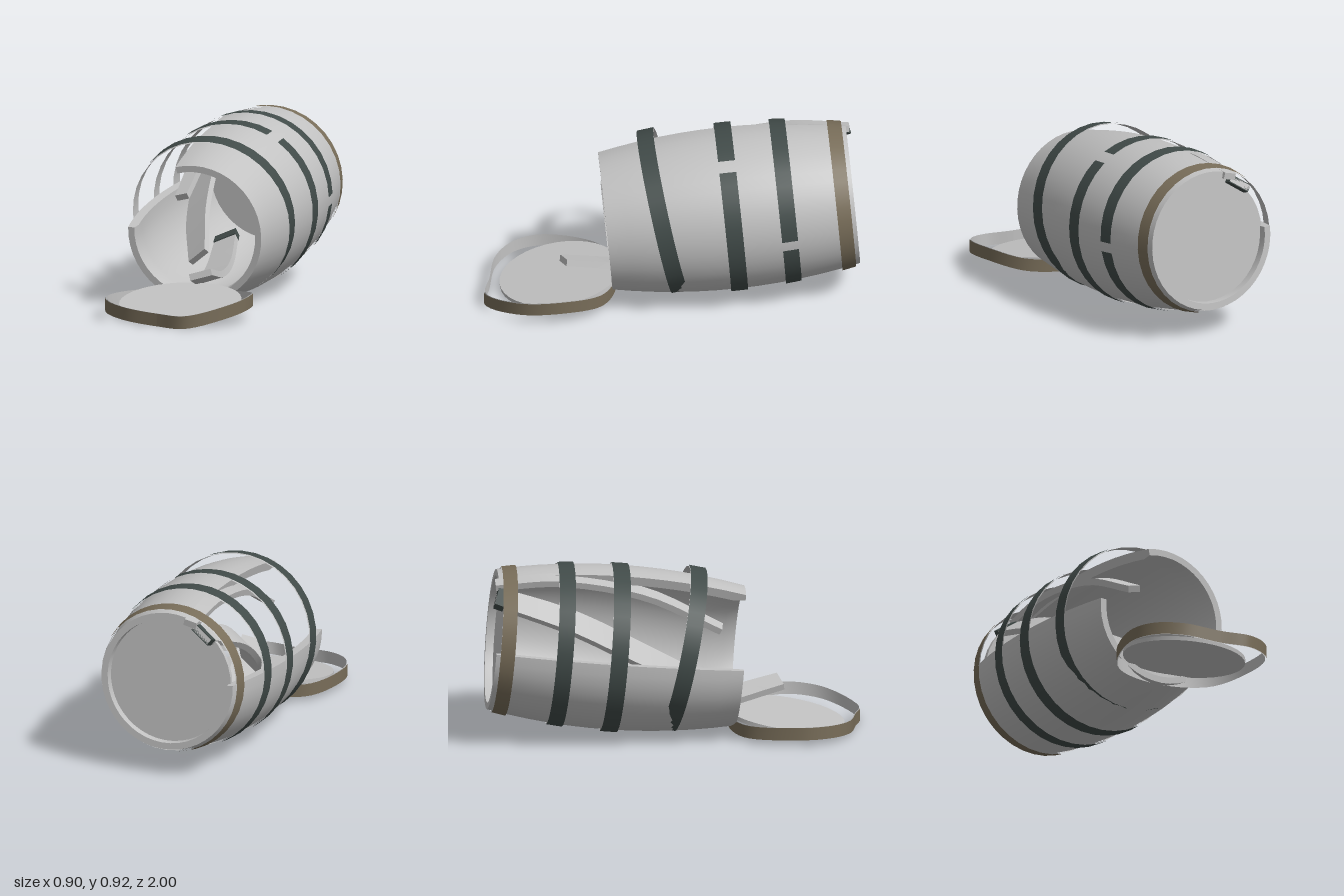
import * as THREE from 'three';
import { toCreasedNormals } from 'three/addons/utils/BufferGeometryUtils.js';

const rad = THREE.MathUtils.degToRad;
const V = (x, y, z) => new THREE.Vector3(x, y, z);

const wood = new THREE.MeshStandardMaterial({ color: 0xc2c2c2, side: THREE.DoubleSide });
wood.name = 'grey wood';
const iron = new THREE.MeshStandardMaterial({ color: 0x414b49 });
iron.name = 'dark iron';
const brass = new THREE.MeshStandardMaterial({ color: 0x786d59 });
brass.name = 'brown metal';

// Barrel: bulging wall along its own axis t, with the gap in degrees round the axis
// (0 bottom, 90 left, 180 top, 270 right).
const HALF = 0.66;
const GAP_FROM = 195, GAP_TO = 267;
const radiusAt = (t) => 0.438 - 0.15 * t * t;

function mesh(name, geometry, material) {
  const m = new THREE.Mesh(geometry, material);
  m.name = name;
  return m;
}

const crease = (g) => toCreasedNormals(g, rad(35));

function buildWall() {
  const group = new THREE.Group();
  group.name = 'barrelWall';
  const profile = [];
  const N = 12;
  for (let i = 0; i <= N; i++) {
    const t = -HALF + (2 * HALF * i) / N;
    profile.push(new THREE.Vector2(radiusAt(t), t));
  }
  profile.push(new THREE.Vector2(0.338, HALF));
  for (let i = 0; i <= N; i++) {
    const t = 0.6 - (1.2 * i) / N;
    profile.push(new THREE.Vector2(radiusAt(t) - 0.05, t));
  }
  profile.push(new THREE.Vector2(0.338, -HALF), profile[0].clone());

  const sweep = 360 - (GAP_TO - GAP_FROM);
  group.add(mesh('staves', crease(new THREE.LatheGeometry(profile, 36, rad(GAP_TO), rad(sweep))), wood));

  // Cut faces on both sides of the gap
  for (const angle of [GAP_FROM, GAP_TO]) {
    const cut = mesh('cutFace', new THREE.ShapeGeometry(new THREE.Shape(profile.slice(0, -1))), wood);
    cut.rotation.y = rad(angle - 90);
    group.add(cut);
  }

  // Back head, set in from the rim
  const head = mesh('backHead', crease(new THREE.CylinderGeometry(0.345, 0.345, 0.025, 36)), wood);
  head.position.y = -0.605;
  group.add(head);
  return group;
}

// Hoop: coloured outside, plain inside, made of one or more arcs [from, to]
function buildHoop(name, t, width, material, arcs, shape = radiusAt) {
  const group = new THREE.Group();
  group.name = name;
  for (const [from, to] of arcs) {
    const segments = Math.max(2, Math.round((to - from) / 10));
    const ring = (lift) => {
      const pts = [-0.5, 0, 0.5].map((k) => new THREE.Vector2(shape(t + k * width) + lift, k * width));
      return new THREE.LatheGeometry(pts, segments, rad(from), rad(to - from));
    };
    group.add(mesh('hoopOutside', ring(0.011), material));
    group.add(mesh('hoopInside', ring(0.005), wood));
  }
  group.position.y = t;
  return group;
}

// Plank bent along a curve; sideStart and sideEnd give the direction of its width
function buildPlank(name, curve, sideStart, sideEnd, width, thick, material, from = 0, to = 1) {
  const g = new THREE.BoxGeometry(width, thick, 1, 1, 1, 14);
  const p = g.attributes.position;
  for (let i = 0; i < p.count; i++) {
    const t = THREE.MathUtils.lerp(from, to, p.getZ(i) + 0.5);
    const tangent = curve.getTangent(t);
    const side = sideStart.clone().lerp(sideEnd, t);
    side.addScaledVector(tangent, -side.dot(tangent)).normalize();
    const up = tangent.clone().cross(side);
    const swell = 1 + 0.25 * Math.sin(Math.PI * t);
    const q = curve.getPoint(t).addScaledVector(side, p.getX(i) * swell).addScaledVector(up, p.getY(i));
    p.setXYZ(i, q.x, q.y, q.z);
  }
  return mesh(name, crease(g), material);
}

// Warped hoop lying on the ground around the lid
function buildLooseHoop() {
  const group = new THREE.Group();
  group.name = 'looseHoop';
  const path = new THREE.CatmullRomCurve3([
    V(0, 0.036, 0.97), V(0.17, 0.036, 1.0), V(0.37, 0.085, 0.82), V(0.405, 0.105, 0.6),
    V(0.29, 0.08, 0.38), V(0, 0.065, 0.29), V(-0.28, 0.062, 0.37), V(-0.38, 0.07, 0.66),
    V(-0.33, 0.065, 0.82), V(-0.2, 0.052, 0.925),
  ], true);
  const band = (inset) => {
    const g = new THREE.PlaneGeometry(1, 0.068, 64, 1);
    const p = g.attributes.position;
    for (let i = 0; i < p.count; i++) {
      const q = path.getPoint((p.getX(i) + 0.5) % 1);
      p.setXYZ(i, q.x * inset, q.y + p.getY(i), 0.64 + (q.z - 0.64) * inset);
    }
    g.computeVertexNormals();
    return g;
  };
  group.add(mesh('looseHoopOutside', band(1), brass));
  group.add(mesh('looseHoopInside', band(0.985), wood));
  return group;
}

export function createModel() {
  const model = new THREE.Group();
  model.name = 'brokenBarrel';

  // Barrel body on its side, back end raised
  const body = new THREE.Group();
  body.name = 'barrelBody';
  body.position.set(0, 0.46, -0.305);
  body.rotation.x = Math.PI / 2 + 0.087;
  body.add(buildWall());
  body.add(buildHoop('frontMiddleHoop', -0.01, 0.09, iron, [[153, 504]]));
  body.add(buildHoop('backMiddleHoop', -0.3, 0.085, iron, [[90, 443]]));
  body.add(buildHoop('backHoop', -0.6, 0.075, brass, [[0, 360]]));
  model.add(body);

  // Front hoop, slipped and leaning forward
  const slipped = new THREE.Group();
  slipped.name = 'slippedHoop';
  slipped.position.set(0, 0.45, 0.045);
  slipped.rotation.x = Math.PI / 2 + 0.21;
  slipped.add(buildHoop('frontHoop', 0, 0.09, iron, [[16, 360]], () => 0.43));
  model.add(slipped);

  // Three loose staves
  const upper = new THREE.CatmullRomCurve3([
    V(-0.125, 0.85, -0.95), V(-0.125, 0.87, -0.6), V(-0.115, 0.78, -0.15), V(-0.105, 0.58, 0.25)]);
  model.add(buildPlank('upperStave', upper, V(1, 0.25, 0), V(1, 0.3, 0), 0.07, 0.035, wood));

  const hanging = new THREE.CatmullRomCurve3([
    V(-0.19, 0.8, -0.95), V(-0.21, 0.66, -0.55), V(-0.15, 0.44, -0.15), V(-0.04, 0.25, 0.17)]);
  model.add(buildPlank('hangingStave', hanging, V(0.8, 0.6, 0), V(0.72, 0.66, 0), 0.12, 0.032, wood));
  model.add(buildPlank('hangingStaveHoopScrap', hanging, V(0.8, 0.6, 0), V(0.72, 0.66, 0), 0.122, 0.042, iron, 0, 0.04));

  const lower = new THREE.CatmullRomCurve3([
    V(-0.17, 0.225, -0.68), V(-0.08, 0.135, -0.3), V(0.02, 0.14, 0.15), V(0.11, 0.225, 0.58)]);
  model.add(buildPlank('lowerStave', lower, V(0.93, 0.36, 0), V(0.95, 0.3, 0), 0.12, 0.035, wood));
  model.add(buildPlank('lowerStaveHoopScrap', lower, V(0.93, 0.36, 0), V(0.95, 0.3, 0), 0.122, 0.045, iron, 0, 0.06));

  // Fallen front head, leaning on the barrel
  const lid = mesh('fallenLid', crease(new THREE.CylinderGeometry(0.325, 0.325, 0.022, 36)), wood);
  lid.position.set(0, 0.07, 0.59);
  lid.rotation.x = 0.15;
  model.add(lid);

  model.add(buildLooseHoop());
  return model;
}
